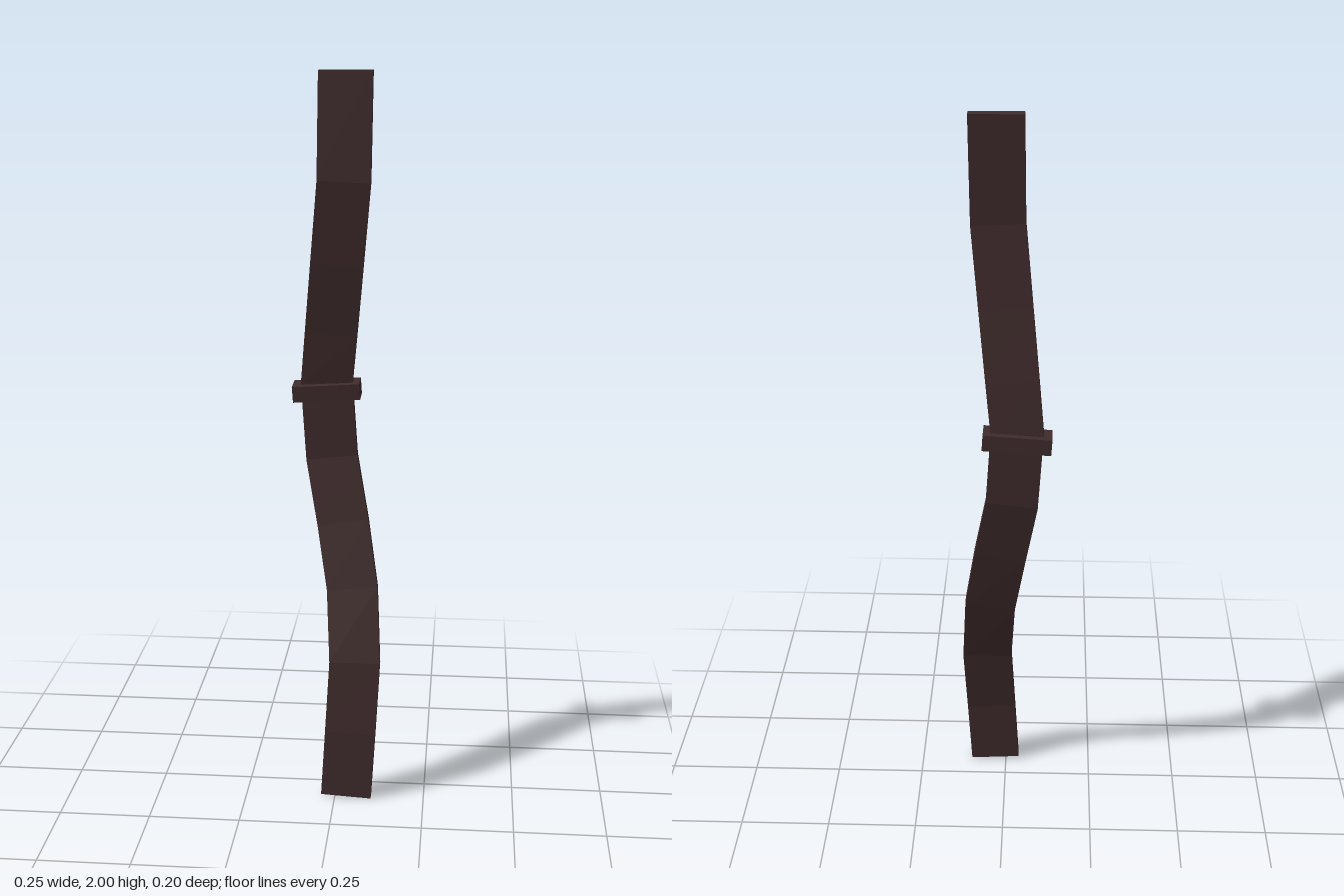
import * as THREE from 'three';

export function createModel() {
  const group = new THREE.Group();
  const leather = new THREE.MeshStandardMaterial({ color: 0x412c2d, flatShading: true });

  // Strap centre line, bottom to top
  const path = [
    [0.032, 0.008, 0.085], [0.043, 0.2, 0.08], [0.053, 0.4, 0.054], [0.042, 0.6, 0.003],
    [0.013, 0.78, -0.035], [-0.02, 0.96, -0.063], [-0.034, 1.17, -0.063], [-0.021, 1.31, -0.048],
    [-0.003, 1.5, -0.02], [0.017, 1.72, 0.003], [0.021, 2, -0.004],
  ];
  const last = path.length - 1;
  const corners = [[-0.07, 0.015], [0.07, 0.015], [0.07, -0.015], [-0.07, -0.015]];

  // Rectangular sections, each tipped square to the centre line
  const rings = path.map(([x, y, z], i) => {
    const a = path[Math.max(i - 1, 0)], b = path[Math.min(i + 1, last)];
    const sx = i === last ? 0 : (b[0] - a[0]) / (b[1] - a[1]);
    const sz = i === last ? 0 : (b[2] - a[2]) / (b[1] - a[1]);
    return corners.map(([dx, dz]) => [x + dx, y - sx * dx - sz * dz, z + dz]);
  });
  const positions = [];
  const quad = (a, b, c, d) => positions.push(...a, ...b, ...c, ...a, ...c, ...d);
  for (let i = 0; i < last; i++) {
    for (let k = 0; k < 4; k++) {
      const n = (k + 1) % 4;
      quad(rings[i][k], rings[i][n], rings[i + 1][n], rings[i + 1][k]);
    }
  }
  quad(...rings[last]);
  quad(...[...rings[0]].reverse());
  const geometry = new THREE.BufferGeometry();
  geometry.setAttribute('position', new THREE.Float32BufferAttribute(positions, 3));
  geometry.computeVertexNormals();
  const strap = new THREE.Mesh(geometry, leather);
  strap.name = 'strap';
  group.add(strap);

  // Keeper loop around the strap
  const keeper = new THREE.Mesh(new THREE.BoxGeometry(0.183, 0.044, 0.07), leather);
  keeper.name = 'keeperLoop';
  keeper.position.set(-0.034, 1.148, -0.064);
  keeper.rotation.set(0.04, 0, 0.065);
  group.add(keeper);

  return group;
}
